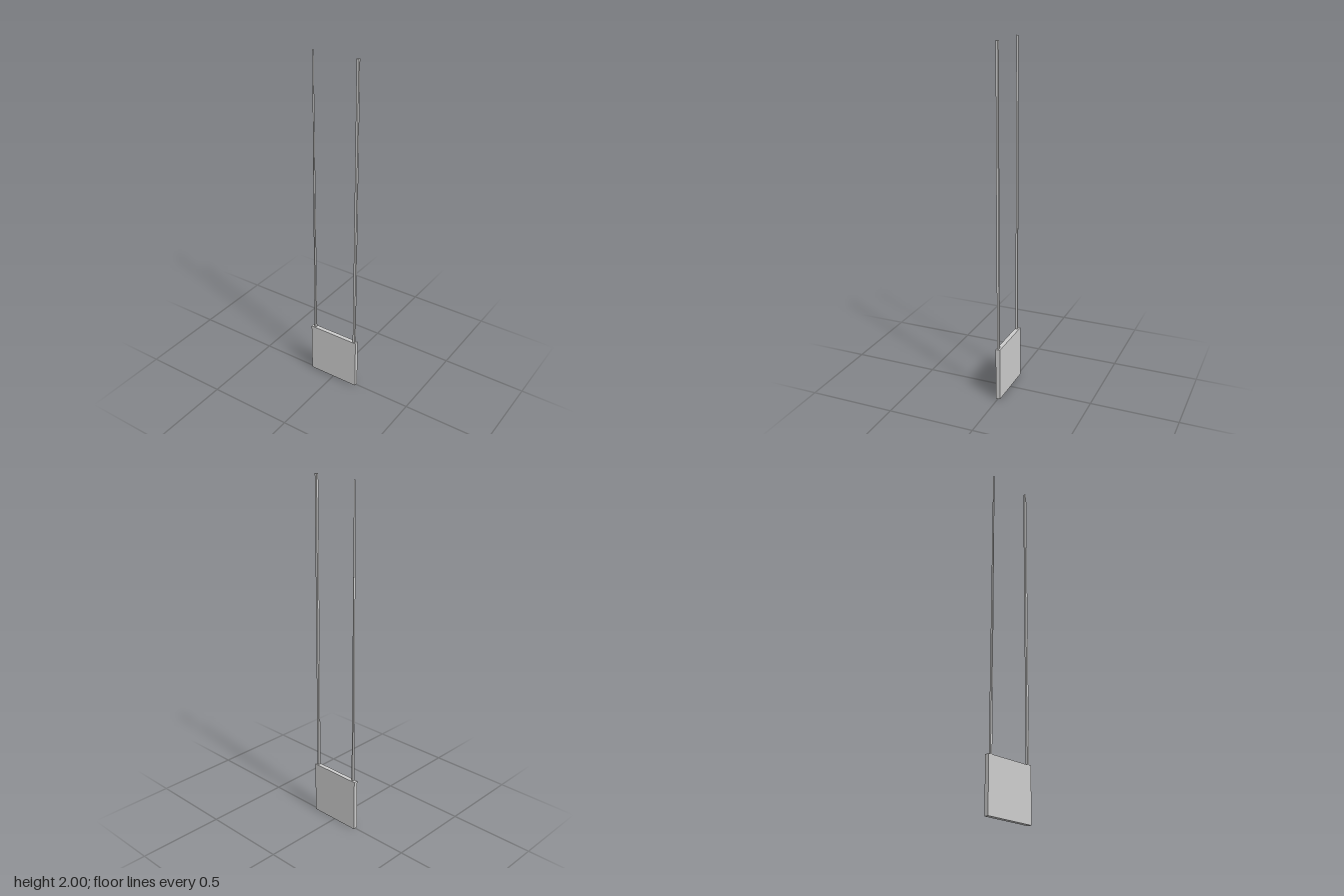
import * as THREE from 'three';

export function createModel() {
  const model = new THREE.Group();
  const material = new THREE.MeshStandardMaterial({ color: 0xcccccc, flatShading: true });
  const plateTop = 0.31, top = 2, depth = 0.012, rodZ = 0.002;

  // thin upright plate at the foot
  const plate = new THREE.Mesh(new THREE.BoxGeometry(0.31, plateTop, 0.025), material);
  plate.name = 'basePlate';
  plate.position.y = plateTop / 2;
  model.add(plate);

  // rods rise from the plate, as front outlines given depth
  const addRod = (name, points) => {
    const shape = new THREE.Shape(points.map(([x, y]) => new THREE.Vector2(x, y)));
    const geometry = new THREE.ExtrudeGeometry(shape, { depth, bevelEnabled: false });
    const rod = new THREE.Mesh(geometry, material);
    rod.name = name;
    rod.position.z = rodZ - depth / 2;
    model.add(rod);
  };

  // square rod of constant width on the left
  addRod('straightRod', [[0.133, plateTop], [0.146, plateTop], [0.146, top], [0.133, top]]);

  // rod on the right: inner edge upright, outer edge tapering to the tip
  addRod('taperedRod', [[-0.138, plateTop], [-0.126, plateTop], [-0.126, top]]);

  return model;
}
